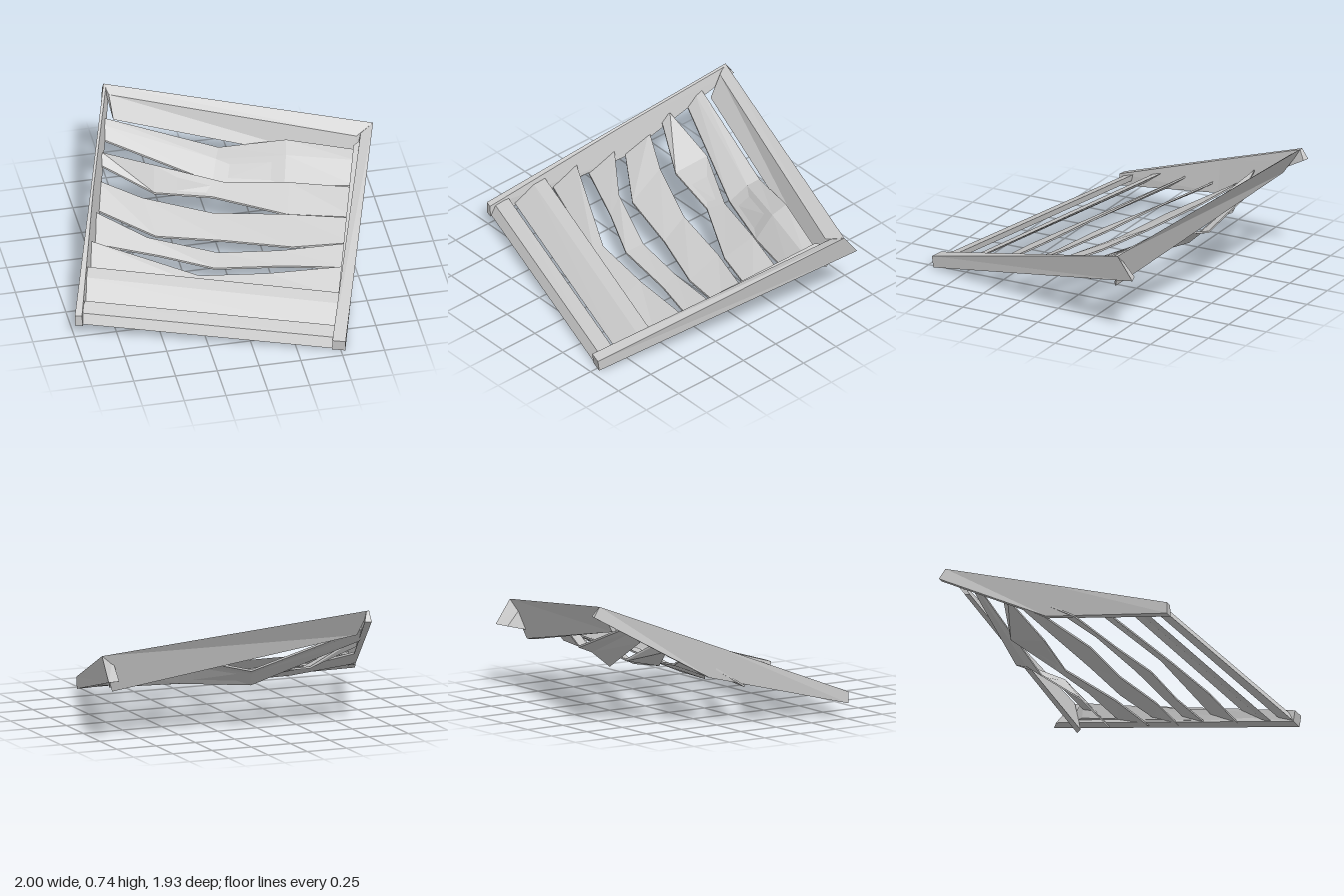
import * as THREE from 'three';

const material = new THREE.MeshStandardMaterial({ color: 0xcccccc, flatShading: true, side: THREE.DoubleSide });

// Closed solid through a row of four-cornered sections
function loft(name, sections) {
  const pos = [];
  const quad = (a, b, c, d) => pos.push(...a, ...b, ...c, ...a, ...c, ...d);
  for (let i = 0; i < sections.length - 1; i++) {
    const s = sections[i], t = sections[i + 1];
    for (let k = 0; k < 4; k++) {
      const n = (k + 1) % 4;
      quad(s[k], s[n], t[n], t[k]);
    }
  }
  const first = sections[0], last = sections[sections.length - 1];
  quad(first[3], first[2], first[1], first[0]);
  quad(last[0], last[1], last[2], last[3]);
  const geometry = new THREE.BufferGeometry();
  geometry.setAttribute('position', new THREE.Float32BufferAttribute(pos, 3));
  geometry.computeVertexNormals();
  const mesh = new THREE.Mesh(geometry, material);
  mesh.name = name;
  return mesh;
}

// Thin bent plank between a back edge and a front edge, both running left to right
function slat(name, back, front, thick = 0.012) {
  const drop = ([x, y, z]) => [x, y - thick, z];
  return loft(name, back.map((b, i) => [b, front[i], drop(front[i]), drop(b)]));
}

export function createModel() {
  const group = new THREE.Group();
  group.name = 'bentLouverFrame';

  // Side rails, front end to back end: outer/inner corners of each section
  group.add(loft('rightSideRail', [
    [[-1, 0.16, 0.51], [-0.96, 0.157, 0.52], [-0.955, 0.087, 0.52], [-1, 0.09, 0.51]],
    [[-0.74, 0.48, -0.28], [-0.725, 0.475, -0.28], [-0.69, 0.28, -0.28], [-0.72, 0.28, -0.28]],
    [[-0.53, 0.74, -0.93], [-0.515, 0.735, -0.925], [-0.49, 0.68, -0.96], [-0.53, 0.68, -0.97]],
  ]));
  group.add(loft('leftSideRail', [
    [[0.45, 0.075, 0.945], [0.525, 0.07, 0.965], [0.525, 0, 0.955], [0.45, 0.005, 0.935]],
    [[0.92, 0.48, -0.5], [1, 0.515, -0.53], [1, 0.375, -0.63], [0.92, 0.37, -0.6]],
  ]));
  // Inner flank that the slats run into
  group.add(loft('leftInnerFlank', [
    [[0.49, 0.085, 0.83], [0.55, 0.085, 0.85], [0.55, 0.03, 0.85], [0.49, 0.03, 0.83]],
    [[0.86, 0.45, -0.42], [0.94, 0.46, -0.48], [0.94, 0.36, -0.55], [0.86, 0.355, -0.43]],
  ]));

  // Cross rails
  group.add(loft('rearRail', [
    [[-0.53, 0.74, -0.93], [-0.51, 0.7, -0.87], [-0.5, 0.575, -0.79], [-0.5, 0.575, -0.82]],
    [[1, 0.515, -0.53], [0.89, 0.47, -0.48], [0.87, 0.285, -0.44], [0.91, 0.285, -0.47]],
  ]));
  group.add(loft('frontRail', [
    [[-0.92, 0.185, 0.41], [-0.955, 0.155, 0.485], [-0.955, 0.095, 0.515], [-0.92, 0.145, 0.42]],
    [[0.5, 0.095, 0.83], [0.46, 0.07, 0.905], [0.46, 0.01, 0.935], [0.5, 0.055, 0.84]],
  ]));

  // Rearmost slat, creased lengthwise into a flat strip and a steep strip
  const crease = [[-0.57, 0.585, -0.735], [0.07, 0.355, -0.58], [0.46, 0.425, -0.44], [0.855, 0.395, -0.35]];
  group.add(slat('slat1Top',
    [[-0.56, 0.61, -0.77], [0.1, 0.385, -0.65], [0.48, 0.47, -0.53], [0.87, 0.42, -0.42]], crease));
  group.add(slat('slat1Front', crease,
    [[-0.58, 0.52, -0.68], [0.03, 0.265, -0.48], [0.43, 0.28, -0.34], [0.84, 0.275, -0.26]]));

  // Bent slats, from rear to front
  group.add(slat('slat2',
    [[-0.61, 0.51, -0.57], [-0.3, 0.36, -0.59], [0.08, 0.315, -0.4], [0.45, 0.33, -0.3], [0.82, 0.31, -0.2]],
    [[-0.64, 0.46, -0.53], [-0.34, 0.315, -0.38], [0, 0.27, -0.33], [0.4, 0.235, -0.12], [0.78, 0.235, -0.01]]));
  group.add(slat('slat3',
    [[-0.67, 0.4, -0.46], [-0.42, 0.325, -0.33], [-0.03, 0.265, -0.18], [0.38, 0.26, -0.09], [0.75, 0.265, 0.03]],
    [[-0.7, 0.3, -0.3], [-0.39, 0.215, -0.09], [0, 0.19, 0], [0.38, 0.18, 0.13], [0.73, 0.195, 0.18]]));
  group.add(slat('slat4',
    [[-0.74, 0.34, -0.25], [-0.45, 0.25, -0.04], [-0.06, 0.19, 0.11], [0.3, 0.195, 0.17], [0.69, 0.225, 0.22]],
    [[-0.8, 0.23, -0.09], [-0.4, 0.19, 0.07], [-0.1, 0.155, 0.21], [0.3, 0.155, 0.27], [0.66, 0.155, 0.36]]));
  group.add(slat('slat5',
    [[-0.8, 0.3, -0.01], [-0.21, 0.175, 0.29], [0.19, 0.175, 0.35], [0.63, 0.195, 0.4]],
    [[-0.84, 0.19, 0.14], [-0.21, 0.148, 0.36], [0.19, 0.12, 0.49], [0.58, 0.1, 0.57]]));

  // Straight front slat: narrow top, steep face
  group.add(loft('slat6', [
    [[-0.87, 0.26, 0.18], [-0.885, 0.235, 0.25], [-0.92, 0.14, 0.37], [-0.91, 0.155, 0.32]],
    [[0.56, 0.16, 0.6], [0.54, 0.135, 0.67], [0.5, 0.045, 0.79], [0.51, 0.06, 0.74]],
  ]));

  return group;
}
